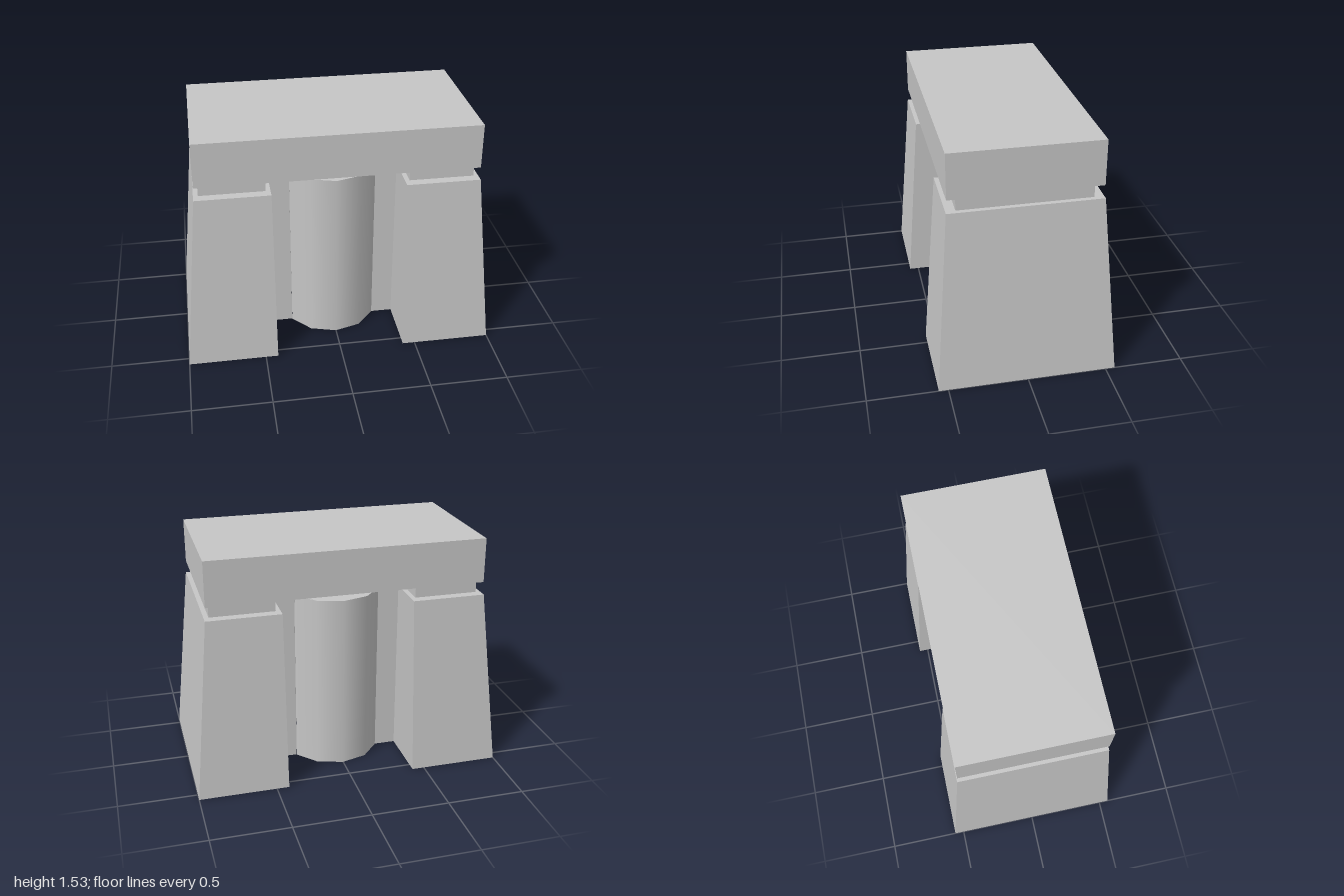
import * as THREE from 'three';

const H = 1.16;            // wall height
const R = 0.31;            // radius of the rounded middle
const CZ = 0.04;           // offset of its axis from the centre
const HALF = Math.asin(0.28 / R);
const SEGMENTS = 4;

export function createModel() {
  const model = new THREE.Group();
  const stone = new THREE.MeshStandardMaterial({ color: 0xc6c6c6, side: THREE.DoubleSide });
  stone.name = 'paleStone';

  const add = (geometry, name, x = 0, y = 0, z = 0) => {
    const mesh = new THREE.Mesh(geometry, stone);
    mesh.name = name;
    mesh.position.set(x, y, z);
    model.add(mesh);
    return mesh;
  };

  // Half of the ground plan as [bottomX, bottomDepth, topX, topDepth]
  const half = [
    [1, -0.56, 0.89, -0.47], [1, 0.56, 0.89, 0.47],
    [0.42, 0.56, 0.42, 0.47], [0.42, 0.17, 0.42, 0.17], [0.28, 0.17, 0.28, 0.17],
  ];
  const arc = [];
  for (let i = 1; i < SEGMENTS; i++) {
    const a = HALF * (1 - 2 * i / SEGMENTS);
    const x = R * Math.sin(a), d = CZ + R * Math.cos(a);
    arc.push([x, d, x, d]);
  }
  const left = [...half, ...arc, [-0.28, 0.17, -0.28, 0.17], [-0.42, 0.17, -0.42, 0.17], [-0.42, 0.56, -0.42, 0.47]];
  const plan = [...left, ...left.map((p) => p.map((v) => -v))];

  // Flat walls, open underneath; the rounded stretch is left out
  const positions = [];
  plan.forEach((a, i) => {
    const b = plan[(i + 1) % plan.length];
    const j = i % left.length;
    if (j >= half.length - 1 && j < half.length + arc.length) return;
    const a0 = [a[0], 0, -a[1]], b0 = [b[0], 0, -b[1]];
    const a1 = [a[2], H, -a[3]], b1 = [b[2], H, -b[3]];
    positions.push(...a0, ...b0, ...b1, ...a0, ...b1, ...a1);
  });
  const walls = new THREE.BufferGeometry();
  walls.setAttribute('position', new THREE.Float32BufferAttribute(positions, 3));
  walls.computeVertexNormals();
  add(walls, 'pylonWalls');

  // Flat top of the walls
  const top = new THREE.ShapeGeometry(new THREE.Shape(plan.map((p) => new THREE.Vector2(p[2], p[3]))));
  add(top.rotateX(-Math.PI / 2), 'wallTop', 0, H, 0);

  // Rounded middle, front and back
  for (const side of [1, -1]) {
    const curve = new THREE.CylinderGeometry(R, R, H, SEGMENTS, 1, true, -HALF, 2 * HALF);
    const column = add(curve, side > 0 ? 'frontColumn' : 'backColumn', 0, H / 2, side * CZ);
    if (side < 0) column.rotation.y = Math.PI;
  }

  // Recessed necks carrying the lintel
  for (const side of [1, -1]) {
    add(new THREE.BoxGeometry(0.41, 0.085, 0.82), side > 0 ? 'leftNeck' : 'rightNeck', side * 0.655, 1.2025, 0);
  }

  // Lintel slab
  add(new THREE.BoxGeometry(1.77, 0.288, 0.93), 'lintel', 0, 1.387, 0);

  return model;
}
